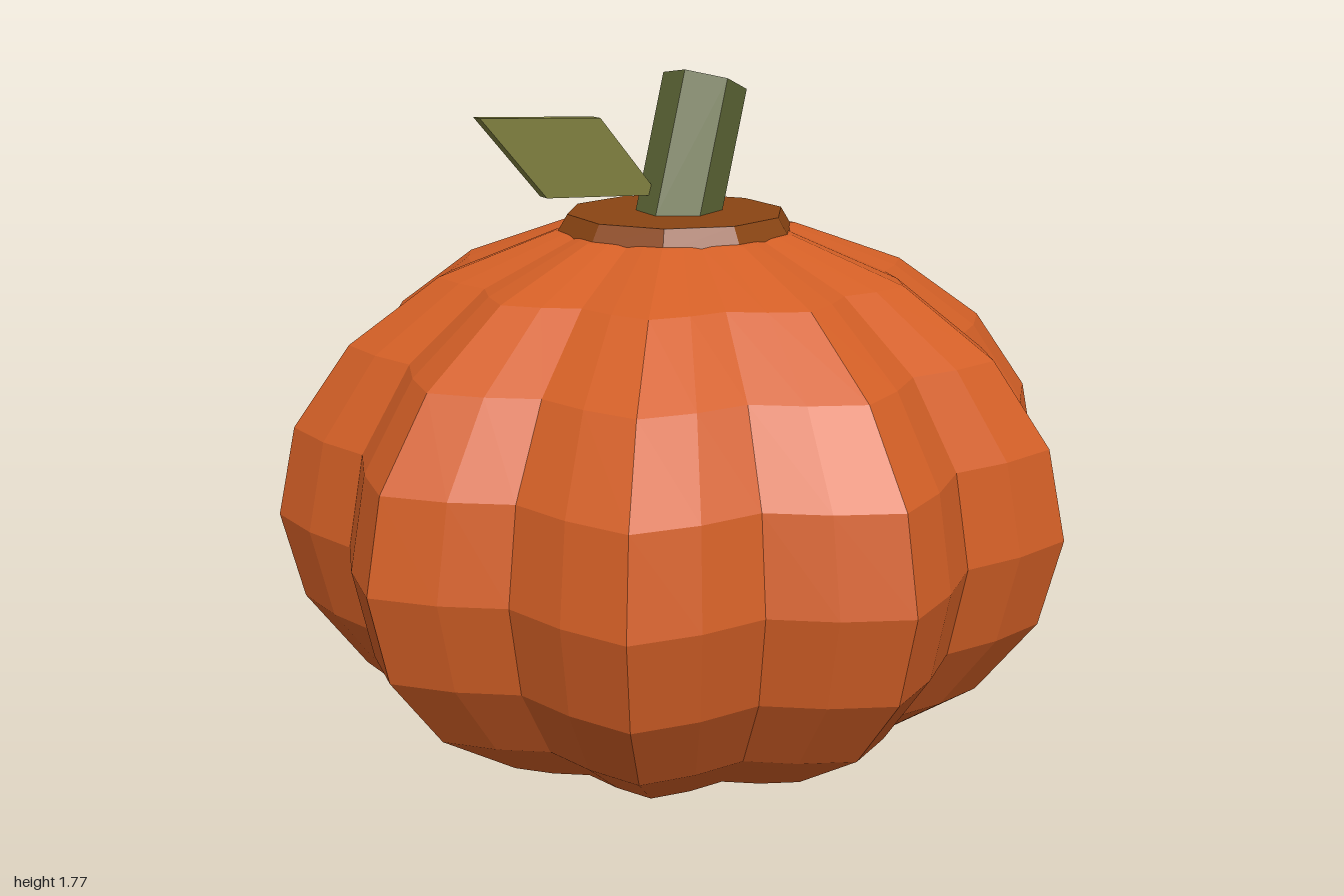
import * as THREE from 'three';

const flat = (name, color) => {
  const m = new THREE.MeshStandardMaterial({ color, flatShading: true });
  m.name = name;
  return m;
};

export function createModel() {
  const rind = flat('orangeRind', 0xd35f26);
  const brown = flat('brownCap', 0x8b4513);
  const green = flat('stemGreen', 0x606938);
  const olive = flat('leafOlive', 0x808040);

  const pumpkin = new THREE.Group();
  pumpkin.name = 'pumpkin';
  const add = (name, geometry, material) => {
    const mesh = new THREE.Mesh(geometry, material);
    mesh.name = name;
    pumpkin.add(mesh);
    return mesh;
  };

  // Ribbed body: squashed sphere with ten ridges around the axis
  const body = new THREE.SphereGeometry(1, 40, 10);
  const p = body.attributes.position;
  for (let i = 0; i < p.count; i++) {
    const x = p.getX(i), z = p.getZ(i);
    const rib = 0.94 + 0.06 * Math.cos(10 * Math.atan2(x, z));
    p.setXYZ(i, x * rib, 0.712 + 0.712 * p.getY(i), z * rib);
  }
  body.computeVertexNormals();
  add('body', body, rind);

  // Ten-sided disc under the stem
  add('cap', new THREE.CylinderGeometry(0.27, 0.3, 0.05, 10), brown).position.y = 1.405;

  // Leaning six-sided stem
  const stem = add('stem', new THREE.CylinderGeometry(0.105, 0.105, 0.36, 6), green);
  stem.position.set(0.055, 1.567, -0.02);
  stem.rotation.set(-0.12, 0, -0.3);

  // Upright slanted leaf plate
  const outline = new THREE.Shape([
    [-0.51, 1.68], [-0.345, 1.485], [-0.04, 1.47], [-0.2, 1.665],
  ].map(([x, y]) => new THREE.Vector2(x, y)));
  const leaf = new THREE.ExtrudeGeometry(outline, { depth: 0.038, bevelEnabled: false });
  add('leaf', leaf, olive).position.z = 0.01;
  pumpkin.getObjectByName('leaf').position.z = -0.049;

  return pumpkin;
}
